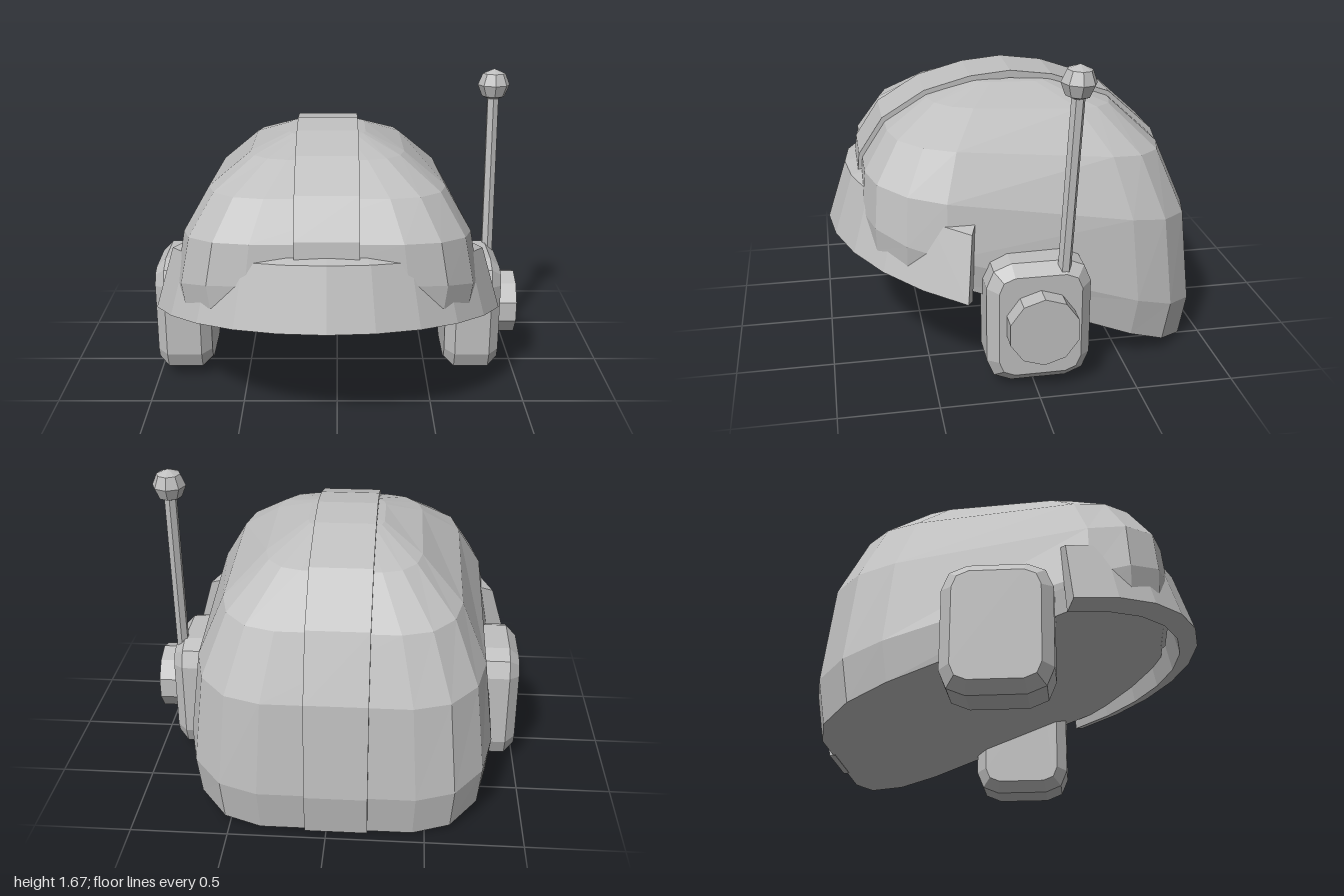
import * as THREE from 'three';

const CX = -0.05; // centre line of the helmet

// Skin a row of closed cross-sections, with both ends capped
function loft(rings) {
  const n = rings[0].length, index = [];
  for (let i = 0; i < rings.length - 1; i++) {
    for (let k = 0; k < n; k++) {
      const a = i * n + k, b = i * n + (k + 1) % n;
      index.push(a, b, b + n, a, b + n, a + n);
    }
  }
  const end = (rings.length - 1) * n;
  for (let k = 1; k < n - 1; k++) {
    index.push(0, k + 1, k, end, end + k, end + k + 1);
  }
  const g = new THREE.BufferGeometry();
  g.setAttribute('position', new THREE.Float32BufferAttribute(rings.flat(2), 3));
  g.setIndex(index);
  const flat = g.toNonIndexed();
  flat.computeVertexNormals();
  return flat;
}

// Rounded rectangle outline: corner radii rx, ry, with a few steps per corner
function roundedRect(hx, hy, rx, ry, steps) {
  const pts = [];
  for (let q = 0; q < 4; q++) {
    const sx = q === 0 || q === 3 ? 1 : -1, sy = q < 2 ? 1 : -1;
    for (let s = 0; s <= steps; s++) {
      const t = (q + s / steps) * Math.PI / 2;
      pts.push([sx * (hx - rx) + rx * Math.cos(t), sy * (hy - ry) + ry * Math.sin(t)]);
    }
  }
  return pts;
}

// Extrude a (z, y) outline along x, centred on x = 0
function extrudeX(points, depth, bevel) {
  const shape = new THREE.Shape(points.map(([z, y]) => new THREE.Vector2(z, y)));
  const g = new THREE.ExtrudeGeometry(shape, {
    depth, bevelEnabled: bevel > 0, bevelSize: bevel, bevelThickness: bevel, bevelSegments: 1,
  });
  return g.translate(0, 0, -depth / 2).rotateY(-Math.PI / 2);
}

export function createModel() {
  const group = new THREE.Group();
  const grey = new THREE.MeshStandardMaterial({ color: 0xbfbfbf, flatShading: true });
  grey.name = 'helmet grey';
  const add = (name, geometry, x = 0, y = 0, z = 0) => {
    const mesh = new THREE.Mesh(geometry, grey);
    mesh.name = name;
    mesh.position.set(x, y, z);
    group.add(mesh);
    return mesh;
  };

  // Shell levels: half width, front z, front y, back z, back y
  const levels = [
    [0, -0.01, 1.42, -0.01, 1.42],
    [0.2, 0.2, 1.4, -0.23, 1.39],
    [0.4, 0.44, 1.335, -0.54, 1.28],
    [0.61, 0.66, 1.2, -0.78, 1.06],
    [0.74, 0.785, 1.01, -0.915, 0.73],
    [0.79, 0.805, 0.8, -0.96, 0.23],
    [0.77, 0.8, 0.68, -0.925, 0.005],
  ];
  add('shell', loft(levels.map(([w, zf, yf, zb, yb]) => {
    const h = (zf - zb) / 2, zc = (zf + zb) / 2;
    return roundedRect(w, h, w * 0.494, h * 0.443, 3).map(([x, z]) =>
      [x, (yf + yb) / 2 + (h ? (z / h) * (yf - yb) / 2 : 0), z + zc]);
  })), CX);

  // Raised band over the top, following the shell profile
  const profile = [
    ...levels.slice(1).reverse().map((l) => [l[1], l[2]]),
    [-0.01, 1.42],
    ...levels.slice(1).map((l) => [l[3], l[4]]),
  ];
  const outer = profile.map(([z, y]) => [z * 1.022, y * 1.018]);
  const inner = profile.map(([z, y]) => [z * 0.99, y * 0.99]).reverse();
  add('centreBand', extrudeX([...outer, ...inner], 0.32, 0), CX);

  // Flared visor: tilted arc of a thick cone
  const section = [[0.875, 0.748], [0.977, 0.412], [0.88, 0.39], [0.79, 0.785]]; // radius, height
  const visor = [];
  for (let i = 0; i <= 10; i++) {
    const t = THREE.MathUtils.degToRad(-70 + i * 14);
    visor.push(section.map(([r, y]) => {
      const z = r * Math.cos(t);
      return [r * Math.sin(t), y + 0.215 * z, z];
    }));
  }
  add('visor', loft(visor), CX);

  // Bevelled ear pads
  for (const side of [-1, 1]) {
    const pad = extrudeX(roundedRect(0.208, 0.27, 0.08, 0.08, 2), 0.19, 0.055);
    add(side > 0 ? 'leftEarPad' : 'rightEarPad', pad, CX + side * 0.8, 0.355, -0.02);
  }

  // Round cap on the left pad
  const cap = new THREE.CylinderGeometry(0.18, 0.18, 0.14, 10);
  cap.rotateY(Math.PI / 2).rotateZ(-Math.PI / 2);
  add('earCap', cap, 0.93, 0.37, -0.02);

  // Leaning antenna with a ball tip
  const tilt = -0.055;
  const rod = add('antennaRod', new THREE.CylinderGeometry(0.034, 0.034, 0.9, 6), 0.86, 1.08, -0.167);
  rod.rotation.x = tilt;
  const ball = add('antennaBall', new THREE.SphereGeometry(0.088, 8, 4), 0.862, 1.585, -0.192);
  ball.rotation.x = tilt;

  return group;
}
